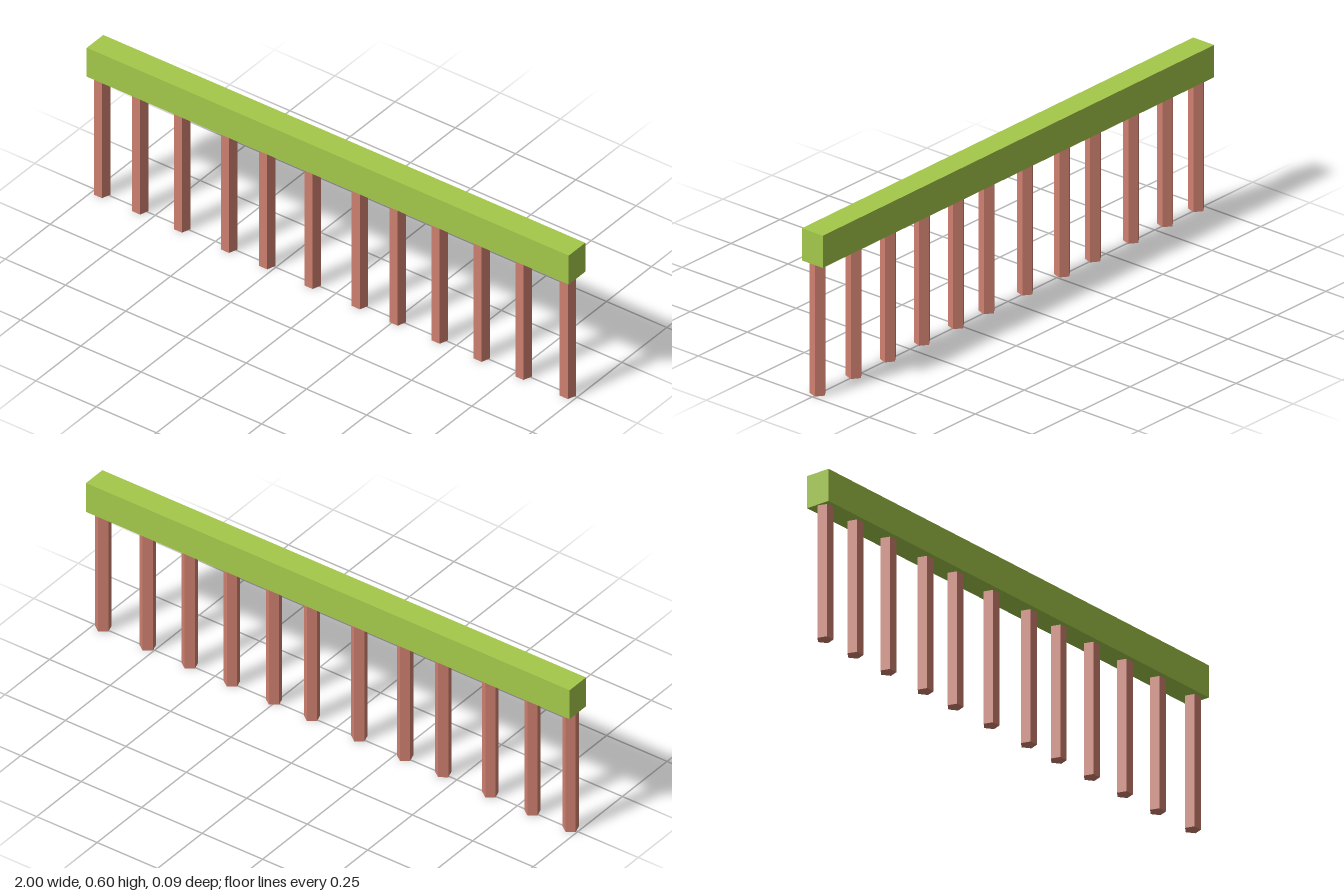
import * as THREE from 'three';

export function createModel() {
  const model = new THREE.Group();
  model.name = 'postAndBeamRail';

  const green = new THREE.MeshStandardMaterial({ color: 0xa4c94a, flatShading: true });
  const clay = new THREE.MeshStandardMaterial({ color: 0xcf8070, flatShading: true });

  // Long square-edged beam
  const bottom = 0.486, top = 0.604;
  const beam = new THREE.Mesh(new THREE.BoxGeometry(2, top - bottom, 0.092), green);
  beam.name = 'beam';
  beam.position.y = (bottom + top) / 2;
  model.add(beam);

  // Five-sided posts, flat face to the front, unevenly spaced
  const postGeometry = new THREE.CylinderGeometry(0.0287, 0.0287, bottom, 5);
  postGeometry.rotateY(Math.PI);
  const postX = [-0.968, -0.81, -0.636, -0.441, -0.283, -0.094, 0.102, 0.259, 0.433, 0.607, 0.781, 0.965];
  const posts = new THREE.Group();
  posts.name = 'posts';
  postX.forEach((x, i) => {
    const post = new THREE.Mesh(postGeometry, clay);
    post.name = `post${i + 1}`;
    post.position.set(x, bottom / 2, 0.0035);
    posts.add(post);
  });
  model.add(posts);

  return model;
}
